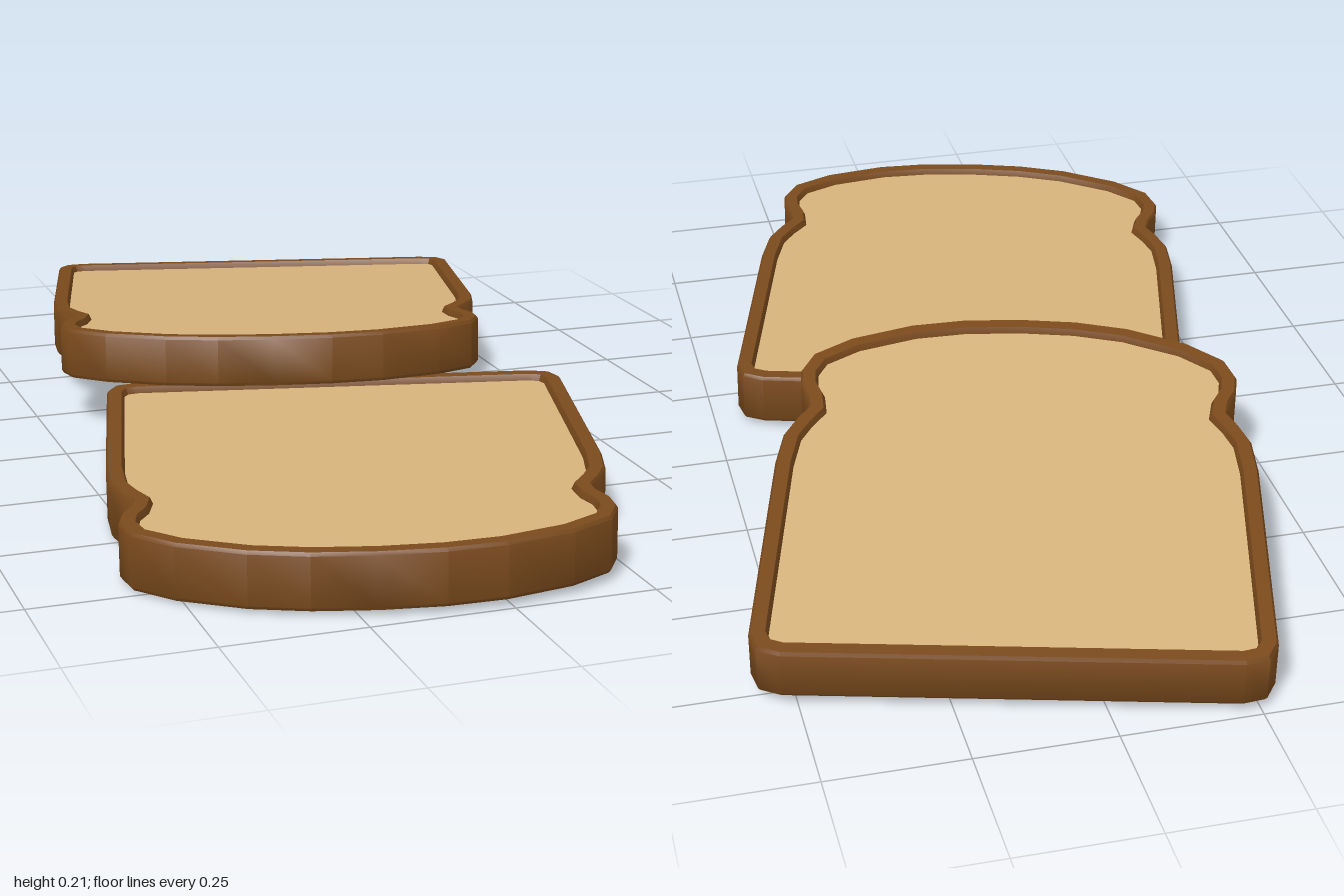
import * as THREE from 'three';
import { toCreasedNormals } from 'three/addons/utils/BufferGeometryUtils.js';

const crustMat = new THREE.MeshStandardMaterial({ color: 0x7a4a1c });
const crumbMat = new THREE.MeshStandardMaterial({ color: 0xd8b47c, side: THREE.DoubleSide });

// Half outline of a slice (x, z): flat base at z = 0, domed crown at z = 0.99
const half = [
  [0.385, 0], [0.425, 0.013], [0.441, 0.05], [0.439, 0.38], [0.438, 0.52], [0.43, 0.605],
  [0.41, 0.655], [0.391, 0.69], [0.396, 0.725], [0.411, 0.76], [0.415, 0.805], [0.395, 0.86],
  [0.325, 0.915], [0.21, 0.963], [0.11, 0.983],
];
const outline = [
  ...half.map(([x, z]) => new THREE.Vector2(x, z)),
  new THREE.Vector2(0, 0.989),
  ...half.map(([x, z]) => new THREE.Vector2(-x, z)).reverse(),
];

// Outline moved inward by d, with mitred corners
function inset(d) {
  const n = outline.length;
  const normal = (a, b) => new THREE.Vector2(b.y - a.y, a.x - b.x).normalize();
  return outline.map((p, i) => {
    const n1 = normal(outline[(i + n - 1) % n], p);
    const n2 = normal(p, outline[(i + 1) % n]);
    const m = n1.clone().add(n2).normalize();
    return p.clone().addScaledVector(m, -d / m.dot(n1));
  });
}

// Crust: a closed cross-section [inset, height] carried round the outline
function crustGeometry(t) {
  const section = [
    [0.004, 0], [0, 0.006], [0, t - 0.006], [0.004, t],
    [0.028, t], [0.034, t - 0.014], [0.034, 0.014], [0.028, 0],
  ];
  const n = outline.length, k = section.length;
  const pos = [], index = [];
  for (const [d, y] of section) for (const p of inset(d)) pos.push(p.x, y, p.y);
  for (let j = 0; j < k; j++) {
    for (let i = 0; i < n; i++) {
      const i2 = (i + 1) % n, j2 = (j + 1) % k;
      const a = j * n + i, b = j * n + i2, c = j2 * n + i2, d = j2 * n + i;
      index.push(a, d, c, a, c, b);
    }
  }
  const g = new THREE.BufferGeometry();
  g.setAttribute('position', new THREE.Float32BufferAttribute(pos, 3));
  g.setIndex(index);
  return toCreasedNormals(g, 0.6);
}

// One slice, turned about y and leaning by the slopes along x and z
function slice(name, t, position, slopeX, slopeZ) {
  const g = new THREE.Group();
  g.name = name;
  const crust = new THREE.Mesh(crustGeometry(t), crustMat);
  crust.name = 'crust';
  g.add(crust);

  // Crumb faces, slightly sunk inside the crust on both sides
  const face = new THREE.ShapeGeometry(new THREE.Shape(inset(0.033))).rotateX(Math.PI / 2);
  for (const [label, y] of [['crumbTop', t - 0.012], ['crumbBottom', 0.012]]) {
    const crumb = new THREE.Mesh(face, crumbMat);
    crumb.name = label;
    crumb.position.y = y;
    g.add(crumb);
  }

  const up = new THREE.Vector3(0, 1, 0);
  const normal = new THREE.Vector3(-slopeX, 1, -slopeZ).normalize();
  const turn = new THREE.Quaternion().setFromAxisAngle(up, THREE.MathUtils.degToRad(-15));
  g.quaternion.setFromUnitVectors(up, normal).multiply(turn);
  g.position.set(...position);
  return g;
}

export function createModel() {
  const model = new THREE.Group();
  model.name = 'breadSlices';
  model.add(
    slice('lowerSlice', 0.1, [0.036, 0.0056, 0.01], 0.012, 0.008),
    slice('upperSlice', 0.096, [0.156, 0.019, -0.891], -0.02, 0.094),
  );
  return model;
}
